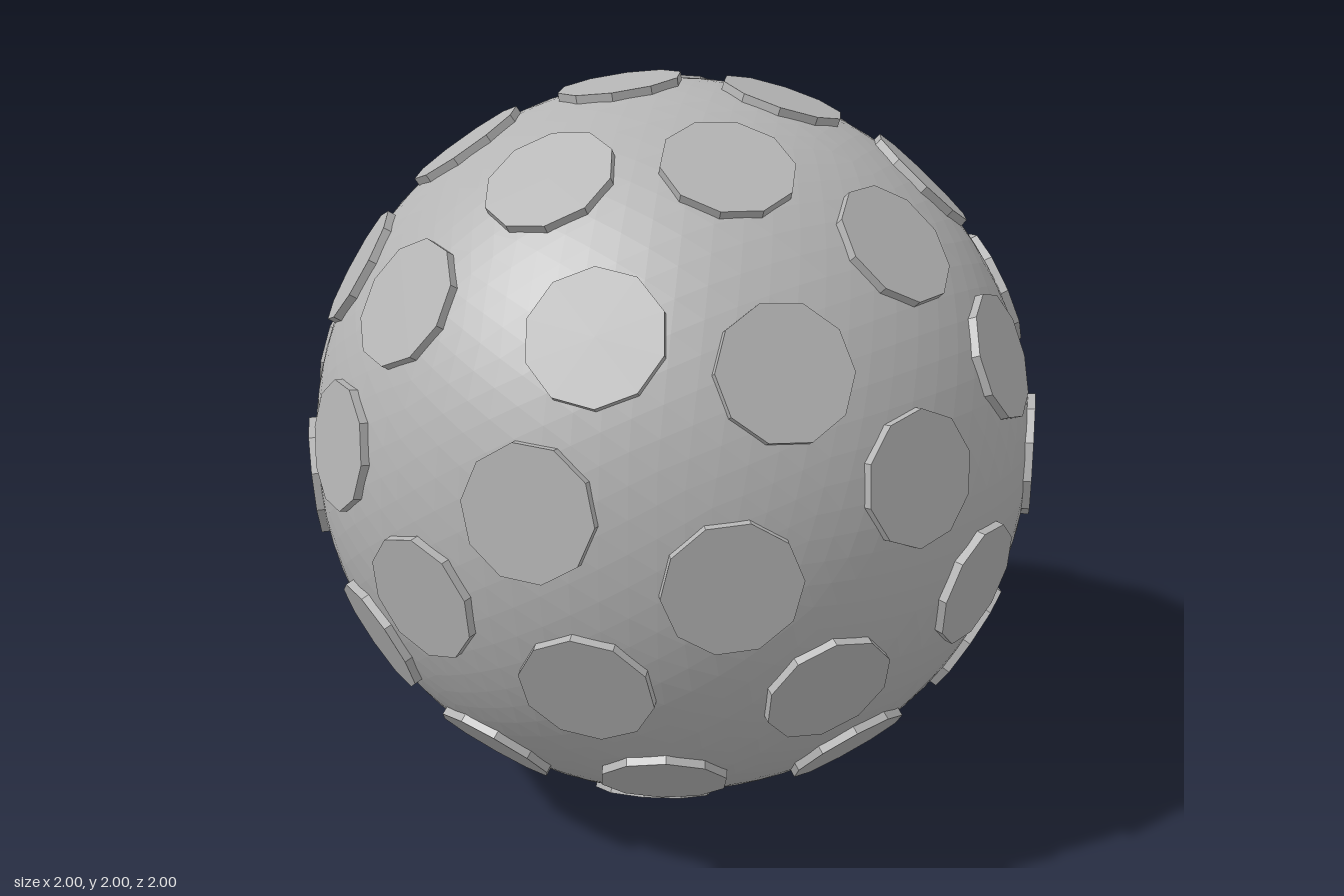
import * as THREE from 'three';

// Plate positions, grouped by the axis they face: the two coordinates across that axis.
const PLATES = {
  front: { axis: 'z', sign: 1, spots: [ // x, y
    [-0.275, 0.14], [0.37, 0.115], [0.06, -0.16], [-0.105, 0.51], [0.425, 0.495], [-0.495, 0.52],
    [-0.61, -0.06], [-0.245, -0.39], [0.45, -0.33], [0.01, -0.68], [-0.61, -0.48]] },
  back: { axis: 'z', sign: -1, spots: [ // x, y
    [0.38, 0.1], [0.635, 0.415], [0.63, -0.21], [0.225, 0.515], [-0.335, 0.61], [-0.41, 0.23],
    [-0.02, 0.175], [-0.17, -0.25], [-0.57, -0.235], [0.18, -0.49], [-0.185, -0.685]] },
  left: { axis: 'x', sign: 1, spots: [ // y, z
    [-0.045, 0.645], [0.42, 0.48], [-0.365, 0.385], [0.15, 0.22], [-0.195, -0.045],
    [0.345, -0.215], [0.015, -0.47], [-0.485, -0.31], [0.645, 0.05], [-0.675, 0.115]] },
  right: { axis: 'x', sign: -1, spots: [ // y, z
    [0.205, 0.52], [-0.29, 0.37], [0.54, 0.24], [0.59, -0.445], [0.13, -0.61],
    [0.363, -0.187], [-0.16, -0.355], [0.03, 0.09], [-0.59, -0.5], [-0.475, -0.13]] },
  top: { axis: 'y', sign: 1, spots: [ // x, z
    [-0.06, 0.14], [0.275, -0.115], [-0.255, -0.28], [-0.36, 0.41], [0.12, 0.575],
    [0.445, 0.31], [-0.58, -0.02], [0.055, -0.54], [0.54, -0.38]] },
  bottom: { axis: 'y', sign: -1, spots: [ // x, z
    [0.45, 0.545], [-0.285, 0.46], [0.21, 0.315], [-0.61, 0.24], [0.51, -0.57],
    [0.44, -0.15], [0.095, -0.41], [-0.47, -0.19], [-0.115, 0]] },
};

const BALL_RADIUS = 0.98;
const PLATE_TOP = 0.987; // distance of a plate's face from the ball's centre
const PLATE_THICKNESS = 0.04;

// Unit direction of a plate from its two known coordinates
function plateDirection(axis, sign, [a, b]) {
  const s = 1 / PLATE_TOP;
  a *= s;
  b *= s;
  const c = sign * Math.sqrt(Math.max(0, 1 - a * a - b * b));
  const dir = axis === 'z' ? new THREE.Vector3(a, b, c)
    : axis === 'x' ? new THREE.Vector3(c, a, b)
    : new THREE.Vector3(a, c, b);
  return dir.normalize();
}

export function createModel() {
  const model = new THREE.Group();
  model.name = 'platedBall';

  const grey = new THREE.MeshStandardMaterial({ color: 0xb4b4b4 });
  grey.name = 'grey';
  grey.flatShading = true;

  // Ball
  const ball = new THREE.Mesh(new THREE.IcosahedronGeometry(BALL_RADIUS, 15), grey);
  ball.name = 'ball';
  ball.position.y = 1;
  model.add(ball);

  // Ten-sided plates, their outer face at the local origin
  const plateGeometry = new THREE.CylinderGeometry(0.163, 0.163, PLATE_THICKNESS, 10);
  plateGeometry.translate(0, -PLATE_THICKNESS / 2, 0);
  const up = new THREE.Vector3(0, 1, 0);

  for (const [side, { axis, sign, spots }] of Object.entries(PLATES)) {
    const group = new THREE.Group();
    group.name = `${side}Plates`;
    group.position.y = 1;
    for (const spot of spots) {
      const dir = plateDirection(axis, sign, spot);
      const plate = new THREE.Mesh(plateGeometry, grey);
      plate.name = 'plate';
      plate.position.copy(dir).multiplyScalar(PLATE_TOP);
      plate.quaternion.setFromUnitVectors(up, dir);
      group.add(plate);
    }
    model.add(group);
  }
  return model;
}
